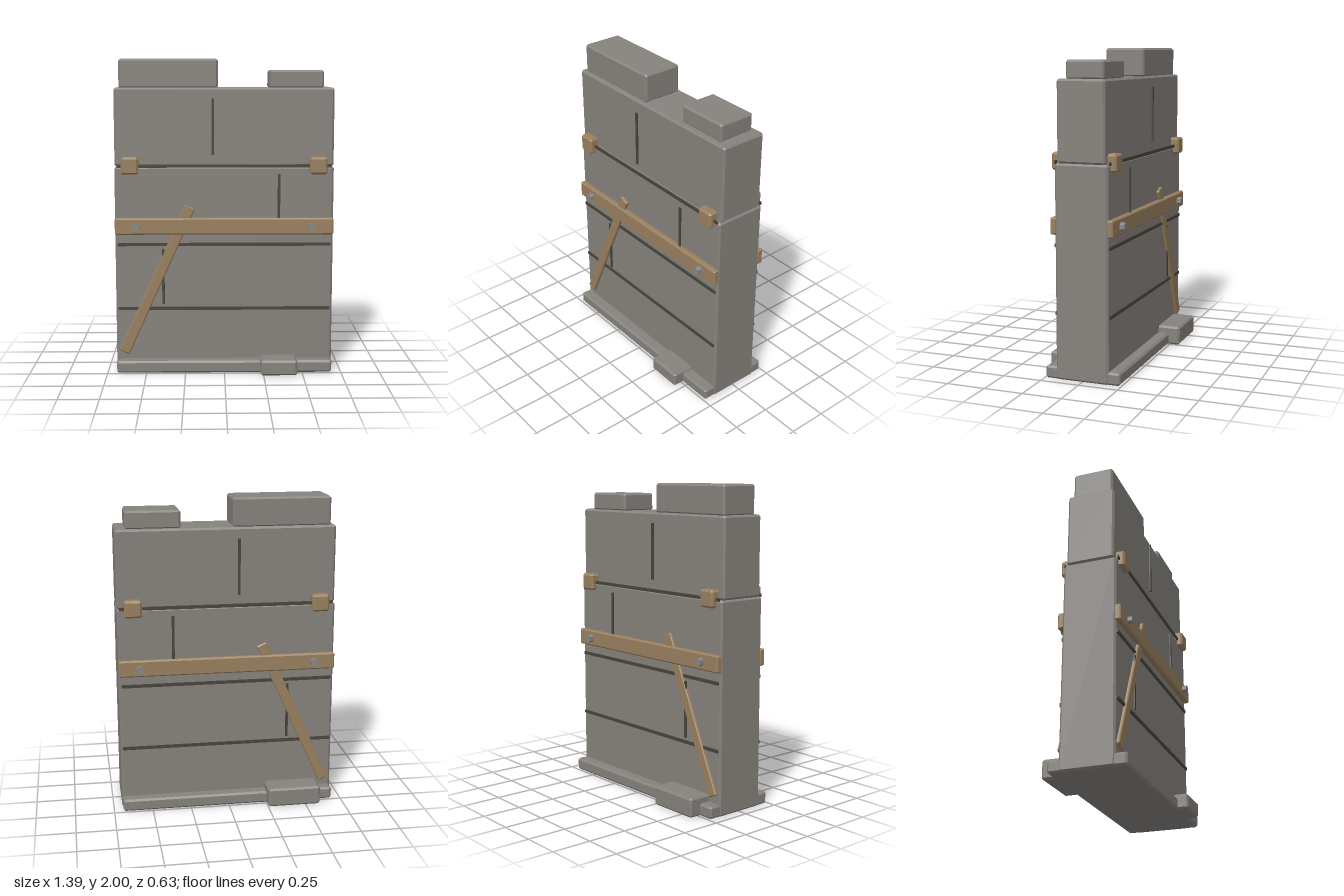
import * as THREE from 'three';
import { ConvexGeometry } from 'three/addons/geometries/ConvexGeometry.js';

const flat = (name, color) => {
  const m = new THREE.MeshStandardMaterial({ color });
  m.name = name;
  return m;
};

// Box with chamfered edges, centred on the origin
function chamferBox(w, h, d, c) {
  const points = [];
  const [x, y, z] = [w / 2, h / 2, d / 2];
  for (const sx of [-1, 1]) for (const sy of [-1, 1]) for (const sz of [-1, 1]) {
    points.push(
      new THREE.Vector3(sx * x, sy * (y - c), sz * (z - c)),
      new THREE.Vector3(sx * (x - c), sy * y, sz * (z - c)),
      new THREE.Vector3(sx * (x - c), sy * (y - c), sz * z));
  }
  return new ConvexGeometry(points);
}

export function createModel() {
  const stone = flat('stone', 0x86827d);
  const wood = flat('wood', 0x99805f);
  const joint = flat('dark joint', 0x47453b);
  const iron = flat('iron', 0x86878a);

  const model = new THREE.Group();
  model.name = 'wallSegment';

  const add = (parent, name, geometry, material) => {
    const mesh = new THREE.Mesh(geometry, material);
    mesh.name = name;
    parent.add(mesh);
    return mesh;
  };
  // Chamfered block given by its lower and upper limits
  const block = (parent, name, material, [x0, x1], [y0, y1], [z0, z1], c = 0.012) => {
    const mesh = add(parent, name, chamferBox(x1 - x0, y1 - y0, z1 - z0, c), material);
    mesh.position.set((x0 + x1) / 2, (y0 + y1) / 2, (z0 + z1) / 2);
    return mesh;
  };

  // Stone masses
  block(model, 'lowerWall', stone, [-0.695, 0.695], [0, 1.325], [-0.17, 0.17]);
  block(model, 'upperWall', stone, [-0.695, 0.695], [1.325, 1.82], [-0.153, 0.153]);
  block(model, 'plinth', stone, [-0.69, 0.69], [0, 0.078], [-0.242, 0.242]);
  block(model, 'tallCapStone', stone, [-0.665, -0.04], [1.815, 2], [-0.13, 0.13]);
  block(model, 'lowCapStone', stone, [0.285, 0.63], [1.815, 1.93], [-0.122, 0.122]);
  block(model, 'frontFootStone', stone, [0.23, 0.465], [0, 0.097], [0.12, 0.312]);
  block(model, 'backFootStone', stone, [-0.595, -0.25], [0, 0.123], [-0.317, -0.12]);

  // Joints and timber, the same on both faces
  for (const s of [1, -1]) {
    const face = new THREE.Group();
    face.name = s > 0 ? 'frontDetails' : 'backDetails';
    model.add(face);

    for (const y of [0.41, 0.828, 1.33]) {
      add(face, 'courseJoint', new THREE.BoxGeometry(1.36, 0.02, 0.009), joint)
        .position.set(0, y, s * 0.174);
    }
    for (const [x, y0, y1] of [[-0.072, 1.4, 1.755], [0.347, 0.98, 1.278], [-0.39, 0.44, 0.8]]) {
      add(face, 'verticalJoint', new THREE.BoxGeometry(0.016, y1 - y0, 0.009), joint)
        .position.set(x, (y0 + y1) / 2, s * 0.18);
    }

    const plank = add(face, 'crossPlank', chamferBox(1.39, 0.105, 0.042, 0.008), wood);
    plank.position.set(0, 0.947, s * 0.18);

    const brace = add(face, 'diagonalBrace', chamferBox(0.068, 1.04, 0.024, 0.006), wood);
    brace.position.set(-0.431, 0.597, s * 0.176);
    brace.rotation.z = -0.424;

    for (const side of [-1, 1]) {
      block(face, 'clamp', wood, [side * 0.596 - 0.055, side * 0.596 + 0.055], [1.278, 1.386],
        s > 0 ? [0.14, 0.208] : [-0.208, -0.14]);
      const bolt = add(face, 'bolt',
        new THREE.CylinderGeometry(0.026, 0.026, 0.04, 6).toNonIndexed(), iron);
      bolt.geometry.computeVertexNormals();
      bolt.rotation.x = Math.PI / 2;
      bolt.position.set(side * 0.558, 0.947, s * 0.211);
    }
  }
  return model;
}
